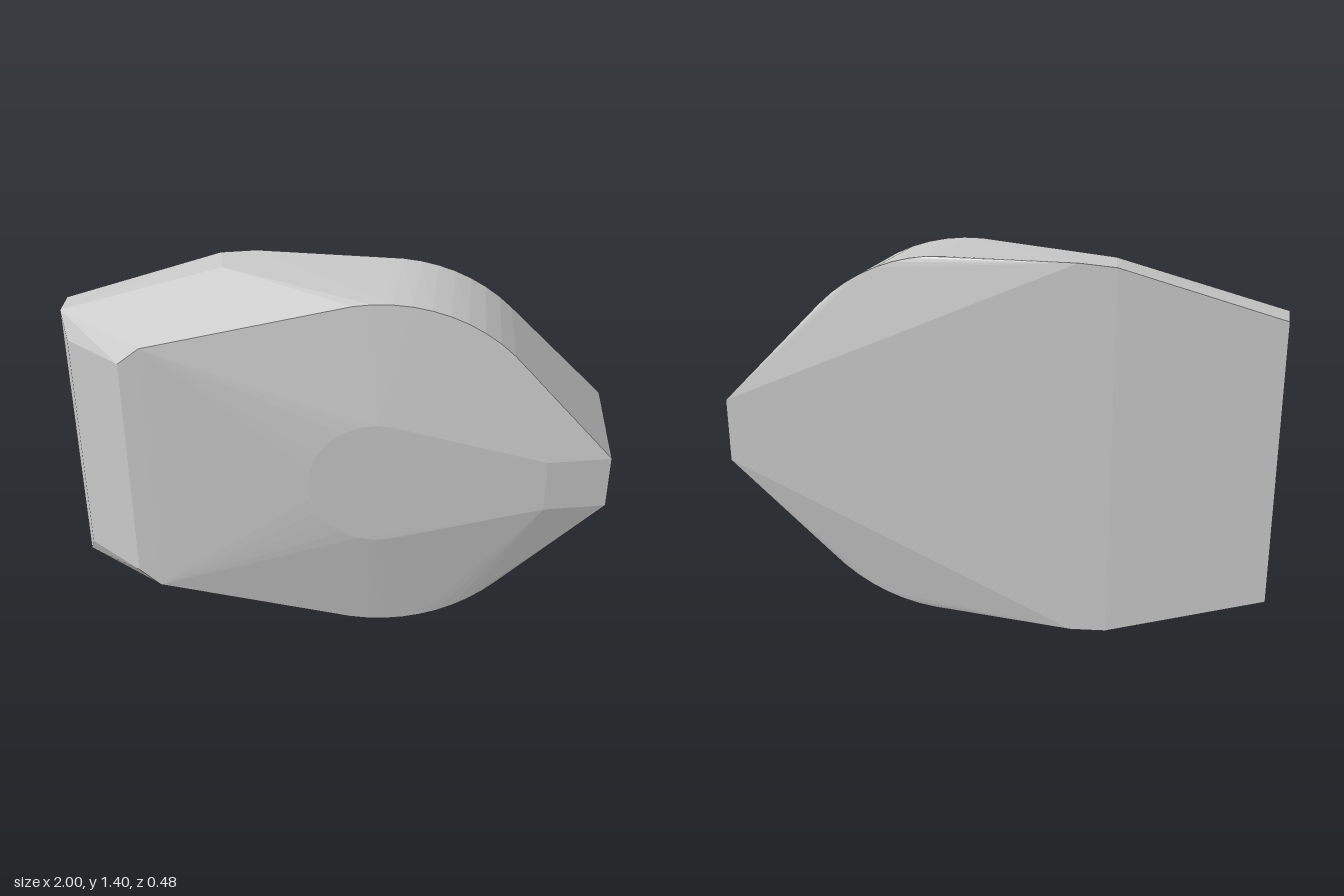
import * as THREE from 'three';
import { ConvexGeometry } from 'three/addons/geometries/ConvexGeometry.js';

const MID = 0.698; // height of the mirror plane

export function createModel() {
  const group = new THREE.Group();
  const grey = new THREE.MeshStandardMaterial({ color: 0xcacaca });
  grey.name = 'lightGrey';

  const points = [];
  // add a point and its mirror image above and below the mid plane
  const pair = (x, dy, z) => {
    points.push(new THREE.Vector3(x, MID + dy, z), new THREE.Vector3(x, MID - dy, z));
  };
  // rounded shoulder, from angle a0 to a1 in degrees
  const arc = (cx, top, r, z, a0, a1, steps) => {
    for (let i = 0; i <= steps; i++) {
      const a = THREE.MathUtils.degToRad(a0 + ((a1 - a0) * i) / steps);
      pair(cx + r * Math.sin(a), top - r * (1 - Math.cos(a)), z);
    }
  };

  // blunt nose
  pair(1, 0.12, -0.24);
  pair(0.975, 0.1, 0.205);

  // rounded shoulders, front and back rims
  arc(0.15, 0.676, 0.65, 0.167, -9, 45, 9);
  arc(0.165, 0.69, 0.66, -0.2, 0, 45, 8);

  // widest part of the flanks and the flat back
  pair(-0.3, 0.698, -0.24);
  pair(-0.43, 0.689, -0.24);
  pair(-0.41, 0.691, -0.1);

  // tail end with its bevelled corners
  pair(-1, 0.525, -0.2);
  pair(-1, 0.53, -0.08);
  pair(-0.97, 0.445, -0.01);
  pair(-0.76, 0.445, 0.17);
  pair(-0.68, 0.51, 0.18);

  // raised round crown on the front, with a ridge to the nose
  for (let i = 0; i <= 12; i++) {
    const a = (Math.PI * i) / 12;
    pair(0.14 + 0.245 * Math.cos(a), 0.245 * Math.sin(a), 0.235);
  }
  pair(0.745, 0.1, 0.237);

  const body = new THREE.Mesh(new ConvexGeometry(points), grey);
  body.name = 'facetedBody';
  group.add(body);
  return group;
}
